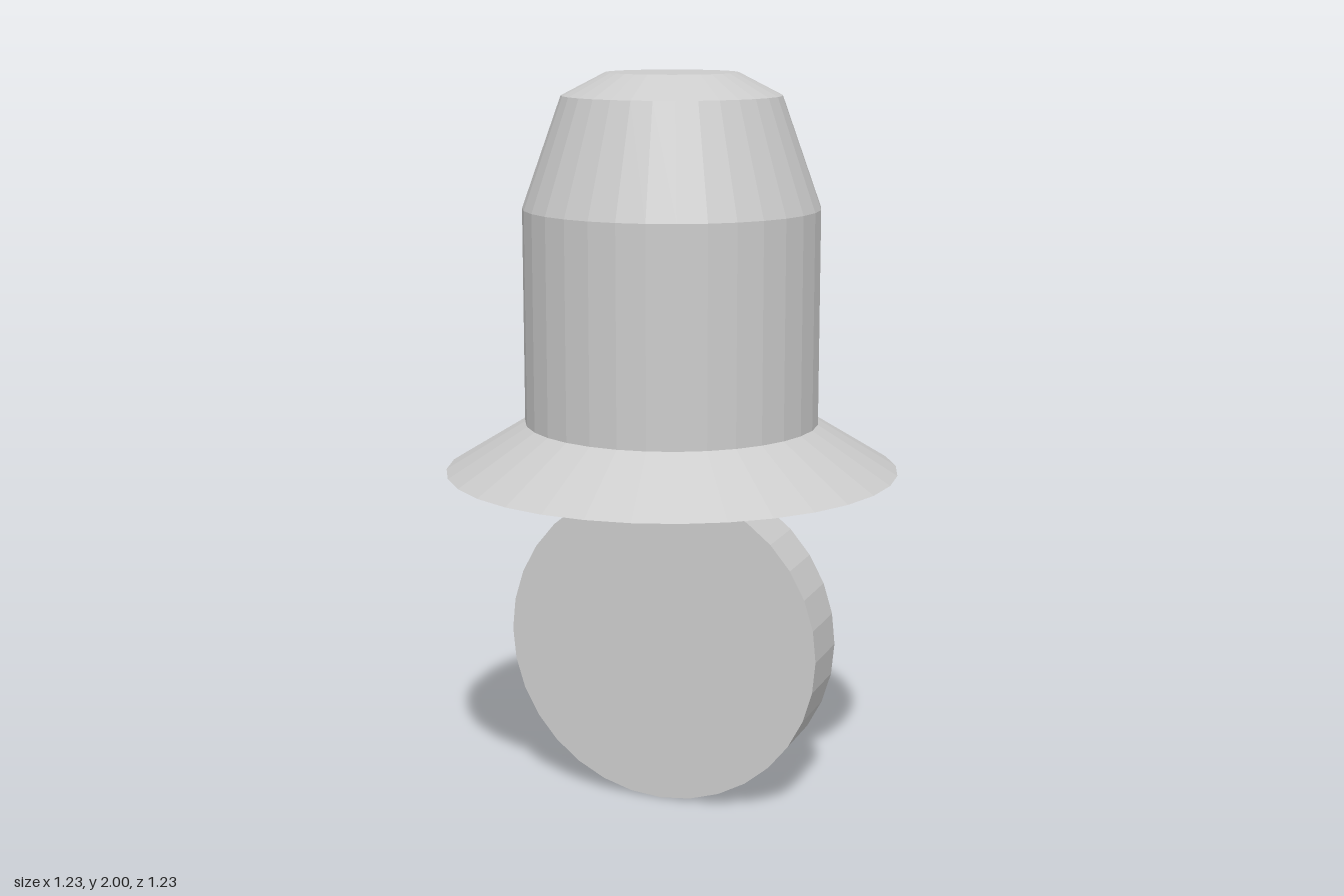
import * as THREE from 'three';

const SIDES = 32;

export function createModel() {
  const model = new THREE.Group();
  const material = new THREE.MeshStandardMaterial({ color: 0xcccccc, flatShading: true });

  const add = (name, geometry, y) => {
    const mesh = new THREE.Mesh(geometry, material);
    mesh.name = name;
    mesh.position.y = y;
    model.add(mesh);
    return mesh;
  };

  // Housing: flat underside, flared skirt, straight barrel, tapered shoulder, bevelled cap
  const profile = [
    [0, 0.93], [0.617, 0.93], [0.4, 1.063], [0.4, 1.643],
    [0.294, 1.94], [0.177, 2], [0, 2],
  ].map(([r, y]) => new THREE.Vector2(r, y));
  add('housing', new THREE.LatheGeometry(profile, SIDES), 0);

  // Wheel hanging just below the housing, axle along z
  const wheel = new THREE.CylinderGeometry(0.446, 0.446, 0.18, SIDES);
  wheel.rotateX(Math.PI / 2);
  add('wheel', wheel, 0.447);

  return model;
}
